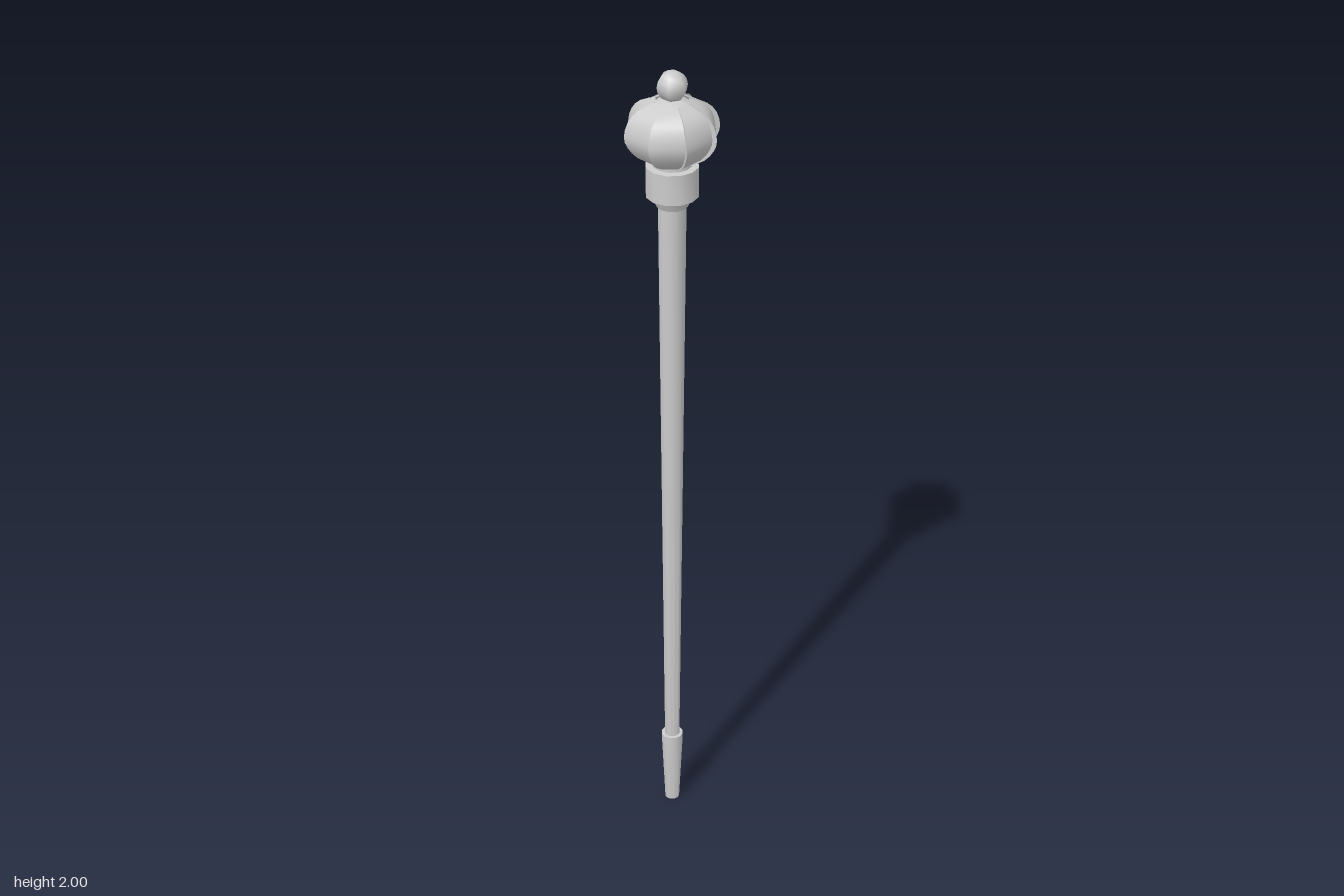
import * as THREE from 'three';
import { toCreasedNormals } from 'three/addons/utils/BufferGeometryUtils.js';

const SIDES = 12;
const BLADES = 8;
const material = new THREE.MeshStandardMaterial({ color: 0xcccccc });
const thinMaterial = new THREE.MeshStandardMaterial({ color: 0xcccccc, side: THREE.DoubleSide });

// Turned part from [radius, height] pairs, listed bottom to top
function turned(name, profile) {
  const points = profile.map(([r, y]) => new THREE.Vector2(r, y));
  const geometry = toCreasedNormals(new THREE.LatheGeometry(points, SIDES), 0.6);
  const mesh = new THREE.Mesh(geometry, material);
  mesh.name = name;
  return mesh;
}

// Surface stretched between two curves of points, a on the left and b on the right
function strip(a, b) {
  const positions = [];
  const index = [];
  a.forEach((p, i) => {
    positions.push(...p.toArray(), ...b[i].toArray());
    if (i === 0) return;
    const k = 2 * i;
    index.push(k - 2, k - 1, k + 1, k - 2, k + 1, k);
  });
  const geometry = new THREE.BufferGeometry();
  geometry.setAttribute('position', new THREE.Float32BufferAttribute(positions, 3));
  geometry.setIndex(index);
  geometry.computeVertexNormals();
  return geometry;
}

// Bulbous head of overlapping blades, each rising from a low edge to a high edge
function createHead() {
  const head = new THREE.Group();
  head.name = 'head';
  const profile = new THREE.SplineCurve([
    [0.042, 1.78], [0.08, 1.802], [0.103, 1.83], [0.111, 1.857],
    [0.102, 1.89], [0.08, 1.914], [0.042, 1.93],
  ].map(([r, y]) => new THREE.Vector2(r, y))).getPoints(12);
  const edge = (angle, scale) => profile.map(({ x, y }) =>
    new THREE.Vector3(x * scale * Math.sin(angle), y, x * scale * Math.cos(angle)));

  const step = (2 * Math.PI) / BLADES;
  const lowScale = 0.9;
  for (let i = 0; i < BLADES; i++) {
    const high = edge(i * step, 1);
    const blade = new THREE.Mesh(strip(high, edge((i + 1) * step, lowScale)), thinMaterial);
    blade.name = 'blade';
    const rim = new THREE.Mesh(strip(edge(i * step, lowScale), high), thinMaterial);
    rim.name = 'bladeRim';
    head.add(blade, rim);
  }
  return head;
}

export function createModel() {
  const model = new THREE.Group();
  model.name = 'staff';

  // Tapered foot and long shaft
  model.add(turned('ferrule', [[0, 0], [0.018, 0], [0.027, 0.19], [0.027, 0.2], [0, 0.2]]));
  model.add(turned('shaft', [[0.0185, 0.19], [0.033, 1.68]]));

  // Stepped collar below the head
  model.add(turned('collar', [
    [0, 1.675], [0.036, 1.675], [0.045, 1.695], [0.061, 1.702], [0.061, 1.775], [0.045, 1.776],
    [0.045, 1.79], [0, 1.79],
  ]));

  model.add(createHead());
  // Core that closes the head and carries the ball
  model.add(turned('headCore', [[0, 1.775], [0.04, 1.775], [0.04, 1.925], [0.02, 1.935], [0, 1.94]]));

  // Six-sided ball on top
  const ball = new THREE.Mesh(new THREE.SphereGeometry(0.036, 6, 8), material);
  ball.name = 'finialBall';
  ball.position.y = 1.964;
  model.add(ball);

  return model;
}
